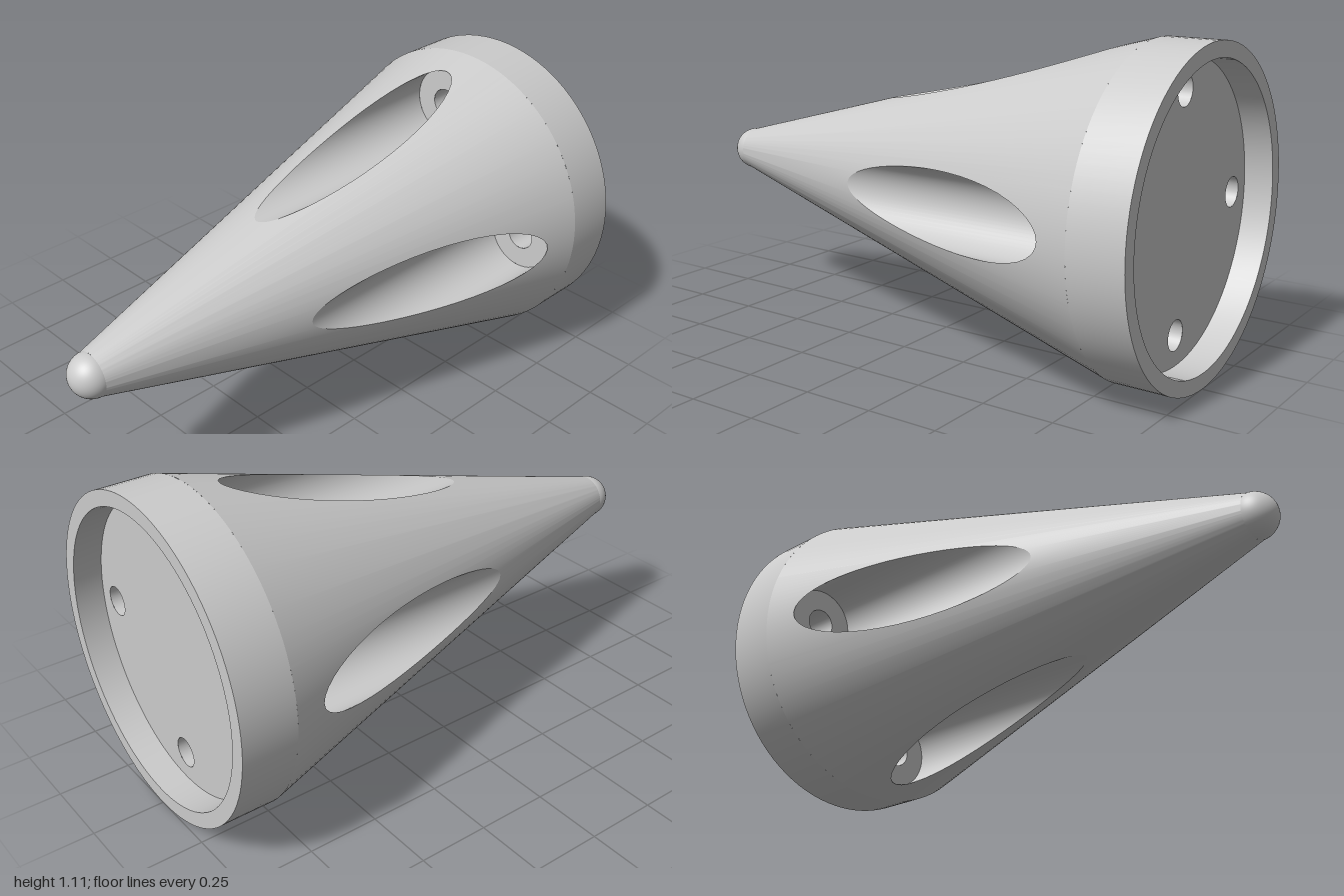
import * as THREE from 'three';
import { toCreasedNormals } from 'three/addons/utils/BufferGeometryUtils.js';

const R = 0.5535, TIP_R = 0.078;           // base and tip radii
const TIP_Z = 0.922, CONE_Z = -0.81;       // cone ends along z
const FLOOR_Z = -0.7, PLATE_Z = -0.9, BACK_Z = -1;
const BORE_D = 0.395, BORE_R = 0.127, HOLE_R = 0.052;
const RECESS_R = 0.5;
const QUARTERS = [0, 1, 2, 3].map(i => i * Math.PI / 2);

const material = new THREE.MeshStandardMaterial({ color: 0xcccccc });
const coneZ = r => TIP_Z + (r - TIP_R) / (R - TIP_R) * (CONE_Z - TIP_Z);
const polar = (r, a, z) => [r * Math.cos(a), r * Math.sin(a), z];
const onCone = (r, a) => polar(r, a, coneZ(r));

// Quads between two equally long rows of points
function strip(out, rowA, rowB) {
  for (let i = 0; i + 1 < rowA.length; i++) {
    const [a, b, c, d] = [rowA[i], rowB[i], rowB[i + 1], rowA[i + 1]];
    out.push(...a, ...b, ...c, ...a, ...c, ...d);
  }
}

function surface(points) {
  const geo = new THREE.BufferGeometry();
  geo.setAttribute('position', new THREE.Float32BufferAttribute(points, 3));
  return toCreasedNormals(geo, 0.5);
}

// Point of a bore's edge on the cone: t runs round the bore, 0 is outermost
function boreEdge(t, centre) {
  const d = Math.asin(BORE_R / BORE_D * Math.sin(t));
  return { r: BORE_D * Math.cos(d) + BORE_R * Math.cos(t), a: centre + d };
}

function range(n, from, to) {
  return Array.from({ length: n + 1 }, (_, i) => from + (to - from) * i / n);
}

// Cone skin, made of radial columns that stop at the four bores
function coneGeometry() {
  const out = [], half = Math.asin(BORE_R / BORE_D);
  for (const q of QUARTERS) {
    const ts = range(24, -Math.PI / 2, Math.PI / 2);
    const outer = ts.map(t => boreEdge(t, q));
    const inner = ts.map(t => boreEdge(Math.PI - t, q));
    strip(out, inner.map(p => onCone(TIP_R, p.a)), inner.map(p => onCone(p.r, p.a)));
    strip(out, outer.map(p => onCone(p.r, p.a)), outer.map(p => onCone(R, p.a)));
    const gap = range(12, q + half, q + Math.PI / 2 - half);
    strip(out, gap.map(a => onCone(TIP_R, a)), gap.map(a => onCone(R, a)));
  }
  return surface(out);
}

// Bore wall facing its axis, from the flat floor up to its edge on the cone
function boreGeometry(q) {
  const out = [];
  const edge = range(48, 0, 2 * Math.PI).map(t => boreEdge(t, q));
  strip(out, edge.map(p => polar(p.r, p.a, FLOOR_Z)), edge.map(p => onCone(p.r, p.a)));
  return surface(out);
}

export function createModel() {
  const model = new THREE.Group();
  model.name = 'spikedCone';
  const body = new THREE.Group();
  body.name = 'body';
  body.position.y = R;
  model.add(body);

  const add = (name, geo, mat = material) => {
    const mesh = new THREE.Mesh(geo, mat);
    mesh.name = name;
    body.add(mesh);
    return mesh;
  };

  add('cone', coneGeometry());

  // Rounded tip
  add('tip', new THREE.SphereGeometry(TIP_R, 48, 16, 0, Math.PI * 2, 0, Math.PI / 2).rotateX(Math.PI / 2))
    .position.z = TIP_Z;

  // Straight band with its back rim and recess wall
  const profile = [[RECESS_R, PLATE_Z], [RECESS_R, BACK_Z], [R, BACK_Z], [R, CONE_Z]]
    .map(p => new THREE.Vector2(...p));
  add('baseBand', toCreasedNormals(new THREE.LatheGeometry(profile, 96).rotateX(Math.PI / 2), 0.5));

  // Back plate inside the recess, pierced by the screw holes
  const plate = new THREE.Shape().absarc(0, 0, RECESS_R, 0, Math.PI * 2);
  for (const q of QUARTERS) {
    const [x, y] = polar(BORE_D, q, 0);
    plate.holes.push(new THREE.Path().absarc(x, y, HOLE_R, 0, Math.PI * 2));
  }
  const back = add('backPlate', new THREE.ShapeGeometry(plate, 48));
  back.rotation.y = Math.PI;
  back.position.z = PLATE_Z;

  // Four counterbores with screw holes
  const inside = material.clone();
  inside.side = THREE.BackSide;
  for (const q of QUARTERS) {
    const [x, y] = polar(BORE_D, q, 0);
    add('boreWall', boreGeometry(q));
    add('boreFloor', new THREE.RingGeometry(HOLE_R, BORE_R, 48)).position.set(x, y, FLOOR_Z);
    const length = FLOOR_Z - PLATE_Z;
    add('screwHole', new THREE.CylinderGeometry(HOLE_R, HOLE_R, length, 32, 1, true).rotateX(Math.PI / 2), inside)
      .position.set(x, y, PLATE_Z + length / 2);
  }
  return model;
}
